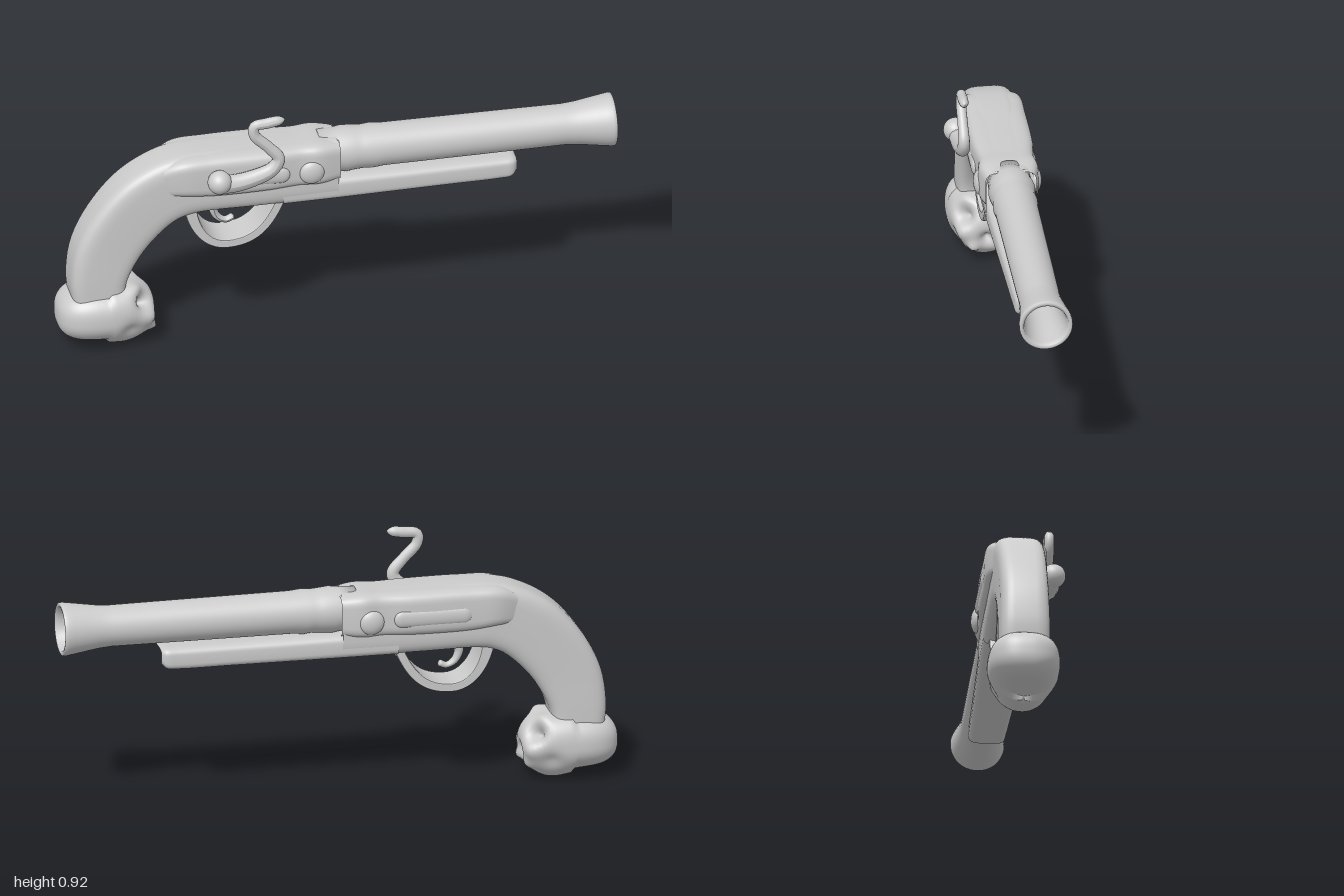
import * as THREE from 'three';
import { mergeVertices } from 'three/addons/utils/BufferGeometryUtils.js';

const Z0 = -0.027; // centre plane of the pistol body
const mat = new THREE.MeshStandardMaterial({ color: 0xcccccc });
const matDouble = new THREE.MeshStandardMaterial({ color: 0xcccccc, side: THREE.DoubleSide });

function part(name, geometry, material = mat) {
  const mesh = new THREE.Mesh(geometry, material);
  mesh.name = name;
  return mesh;
}

// Loft of superellipse sections; station = [topX, topY, bottomX, bottomY, halfWidth]
function loft(stations, power, steps, z = Z0) {
  const N = 40;
  const tops = new THREE.CatmullRomCurve3(stations.map(s => new THREE.Vector3(s[0], s[1], s[4])));
  const bots = new THREE.CatmullRomCurve3(stations.map(s => new THREE.Vector3(s[2], s[3], s[4])));
  const pos = [], idx = [];
  const sup = v => Math.sign(v) * Math.pow(Math.abs(v), 2 / power);
  const ring = t => {
    const T = tops.getPoint(t), B = bots.getPoint(t);
    for (let j = 0; j < N; j++) {
      const a = (j / N) * Math.PI * 2, s = sup(Math.sin(a)), c = sup(Math.cos(a));
      pos.push((T.x + B.x) / 2 + (T.x - B.x) / 2 * s, (T.y + B.y) / 2 + (T.y - B.y) / 2 * s, z + T.z * c);
    }
    return [(T.x + B.x) / 2, (T.y + B.y) / 2, z];
  };
  for (let i = 0; i <= steps; i++) ring(i / steps);
  for (let i = 0; i < steps; i++) for (let j = 0; j < N; j++) {
    const a = i * N + j, b = i * N + (j + 1) % N;
    idx.push(a, a + N, b, b, a + N, b + N);
  }
  // flat end caps with their own vertices
  for (const end of [0, 1]) {
    const base = pos.length / 3;
    pos.push(...ring(end));
    for (let j = 0; j < N; j++) {
      const a = base + j, b = base + (j + 1) % N;
      idx.push(base + N, end ? a : b, end ? b : a);
    }
  }
  const g = new THREE.BufferGeometry();
  g.setAttribute('position', new THREE.Float32BufferAttribute(pos, 3));
  g.setIndex(idx);
  g.computeVertexNormals();
  return g;
}

// Tube whose radius follows a list of radii, flattened in z
function taperedTube(points, radii, zScale, z) {
  const curve = new THREE.CatmullRomCurve3(points.map(p => new THREE.Vector3(p[0], p[1], 0)));
  const S = 64, R = 14, g = new THREE.TubeGeometry(curve, S, 1, R);
  const p = g.attributes.position, v = new THREE.Vector3();
  for (let i = 0; i <= S; i++) {
    const u = i / S, c = curve.getPointAt(u), f = u * (radii.length - 1);
    const k = Math.min(Math.floor(f), radii.length - 2);
    const round = Math.sqrt(Math.min(1, Math.min(u, 1 - u) * 24));
    const r = THREE.MathUtils.lerp(radii[k], radii[k + 1], f - k) * round;
    for (let j = 0; j <= R; j++) {
      const n = i * (R + 1) + j;
      v.fromBufferAttribute(p, n).sub(c).multiplyScalar(r);
      p.setXYZ(n, c.x + v.x, c.y + v.y, z + v.z * zScale);
    }
  }
  g.computeVertexNormals();
  return g;
}

// Skull: boxy ellipsoid with gaussian hollows (negative) and bumps (positive)
function skullGeometry() {
  let g = new THREE.SphereGeometry(1, 72, 54);
  g.deleteAttribute('uv');
  g.deleteAttribute('normal');
  g = mergeVertices(g, 1e-4);
  const features = [];
  for (const s of [-1, 1]) {
    features.push([-0.69, 0.195, s * 0.08, 0.033, -0.055]); // eye socket
    features.push([-0.72, 0.245, s * 0.07, 0.035, 0.016]);  // brow
    features.push([-0.68, 0.13, s * 0.085, 0.03, 0.014]);   // cheekbone
    features.push([-0.74, 0.09, s * 0.11, 0.04, -0.018]);   // hollow cheek
  }
  features.push([-0.64, 0.105, 0, 0.026, -0.04]);  // nose
  features.push([-0.66, 0.075, 0.05, 0.02, 0.02]); // teeth ridge
  features.push([-0.66, 0.06, -0.05, 0.022, 0.012]);
  features.push([-0.76, 0.02, 0, 0.06, 0.014]);    // jaw
  features.push([-0.88, 0.03, 0, 0.05, -0.012]);   // back of the jaw
  const c = new THREE.Vector3(-0.825, 0.135, 0), d = new THREE.Vector3(), q = new THREE.Vector3();
  const p = g.attributes.position;
  for (let i = 0; i < p.count; i++) {
    d.fromBufferAttribute(p, i).normalize();
    const k = 1 / Math.pow(Math.abs(d.x) ** 2.7 + Math.abs(d.y) ** 2.7 + Math.abs(d.z) ** 2.7, 1 / 2.7);
    const low = Math.max(0, -d.y * k);
    q.set(d.x * k * 0.175, d.y * k * (d.x > 0 ? 0.118 : 0.103), d.z * k * 0.127 * (1 - 0.3 * low * low)).add(c);
    let push = 0;
    for (const [x, y, z, r, h] of features)
      push += h * Math.exp(-((q.x - x) ** 2 + (q.y - y) ** 2 + (q.z - z) ** 2) / (r * r));
    q.addScaledVector(d, push);
    p.setXYZ(i, q.x, q.y, q.z + Z0);
  }
  g.computeVertexNormals();
  return g;
}

export function createModel() {
  const model = new THREE.Group();
  model.name = 'flintlockPistol';

  // Curved grip running into the straight stock
  model.add(part('gripAndStock', loft([
    [-0.945, 0.17, -0.76, 0.17, 0.088], [-0.955, 0.28, -0.752, 0.265, 0.088],
    [-0.935, 0.41, -0.705, 0.36, 0.086], [-0.87, 0.54, -0.645, 0.435, 0.086],
    [-0.77, 0.655, -0.58, 0.49, 0.087], [-0.66, 0.722, -0.53, 0.51, 0.088],
    [-0.56, 0.75, -0.48, 0.517, 0.09], [-0.3, 0.753, -0.3, 0.517, 0.09],
    [-0.12, 0.752, -0.12, 0.517, 0.088], [0, 0.752, 0, 0.517, 0.086],
  ], 4.5, 72)));

  // Wider lock section on both sides
  model.add(part('lockHousing', loft([
    [-0.66, 0.7, -0.64, 0.6, 0.075], [-0.57, 0.744, -0.55, 0.6, 0.107],
    [-0.45, 0.752, -0.45, 0.59, 0.11], [-0.25, 0.752, -0.25, 0.59, 0.11],
    [-0.14, 0.752, -0.14, 0.592, 0.1], [-0.07, 0.754, -0.07, 0.592, 0.106],
    [0.005, 0.745, 0.005, 0.6, 0.09],
  ], 5, 44)));

  // Oblong raised plates and round bosses on the lock sides
  for (const s of [-1, 1]) {
    const plate = part('sidePlate', new THREE.CapsuleGeometry(0.03, 0.22, 8, 20));
    plate.rotation.z = Math.PI / 2;
    plate.scale.z = 0.4;
    plate.position.set(-0.32, 0.66, Z0 + s * 0.104);
    const boss = part('sideBoss', new THREE.SphereGeometry(0.045, 24, 16));
    boss.scale.z = 0.5;
    boss.position.set(-0.1, 0.655, Z0 + s * 0.098);
    model.add(plate, boss);
  }

  // Fore-end under the barrel
  model.add(part('foreEnd', loft([
    [-0.2, 0.61, -0.2, 0.516, 0.086], [0, 0.607, 0, 0.516, 0.083],
    [0.2, 0.603, 0.2, 0.516, 0.077], [0.4, 0.6, 0.4, 0.516, 0.071],
    [0.58, 0.598, 0.58, 0.516, 0.066], [0.63, 0.597, 0.625, 0.52, 0.063],
    [0.645, 0.59, 0.645, 0.54, 0.05],
  ], 4, 48)));

  // Hollow barrel with flared muzzle
  const profile = [
    [0, -0.06], [0.076, -0.06], [0.078, 0], [0.083, 0.03], [0.079, 0.07], [0.077, 0.1], [0.08, 0.13],
    [0.076, 0.17], [0.075, 0.4], [0.074, 0.65], [0.073, 0.82], [0.077, 0.87],
    [0.085, 0.92], [0.092, 0.965], [0.095, 0.985], [0.094, 0.997], [0.088, 1], [0.079, 0.998],
    [0.075, 0.98], [0.068, 0.92], [0.063, 0.86], [0.062, 0.78], [0.062, 0.7], [0.0615, 0.7], [0, 0.7],
  ].map(([r, h]) => new THREE.Vector2(r, h));
  const barrel = part('barrel', new THREE.LatheGeometry(profile, 48), matDouble);
  barrel.rotation.z = -Math.PI / 2;
  barrel.position.set(0, 0.682, Z0);
  model.add(barrel);

  // Trigger guard: a band bent into a bow
  const bow = new THREE.Shape();
  bow.moveTo(-0.55, 0.53);
  bow.bezierCurveTo(-0.53, 0.43, -0.47, 0.363, -0.395, 0.363);
  bow.bezierCurveTo(-0.29, 0.363, -0.235, 0.42, -0.19, 0.53);
  bow.lineTo(-0.225, 0.53);
  bow.bezierCurveTo(-0.265, 0.44, -0.31, 0.395, -0.395, 0.395);
  bow.bezierCurveTo(-0.45, 0.395, -0.495, 0.445, -0.505, 0.53);
  bow.closePath();
  const guard = part('triggerGuard', new THREE.ExtrudeGeometry(bow, {
    depth: 0.115, curveSegments: 24, bevelThickness: 0.008, bevelSize: 0.004, bevelOffset: -0.004, bevelSegments: 3,
  }));
  guard.position.z = Z0 - 0.0575;
  model.add(guard);

  // Trigger hook
  model.add(part('trigger', taperedTube(
    [[-0.42, 0.54], [-0.435, 0.5], [-0.42, 0.46], [-0.39, 0.443], [-0.36, 0.455]],
    [0.018, 0.017, 0.014, 0.011, 0.012], 1.3, Z0)));

  // Hammer with its pivot knob
  const hammer = new THREE.Group();
  hammer.name = 'hammer';
  hammer.add(part('hammerArm', taperedTube(
    [[-0.46, 0.675], [-0.4, 0.667], [-0.32, 0.68], [-0.25, 0.71], [-0.228, 0.75], [-0.265, 0.8],
      [-0.315, 0.855], [-0.315, 0.89], [-0.27, 0.898], [-0.205, 0.907]],
    [0.034, 0.034, 0.032, 0.03, 0.026, 0.022, 0.02, 0.02, 0.019, 0.02, 0.017], 0.9, 0.11)));
  const knob = part('hammerKnob', new THREE.SphereGeometry(0.043, 28, 20));
  knob.position.set(-0.44, 0.68, 0.114);
  const pivot = part('hammerPivot', new THREE.CylinderGeometry(0.025, 0.025, 0.08, 20));
  pivot.rotation.x = Math.PI / 2;
  pivot.position.set(-0.42, 0.67, 0.075);
  hammer.add(knob, pivot);
  model.add(hammer);

  // Carved skull pommel
  model.add(part('skullPommel', skullGeometry()));

  return model;
}
